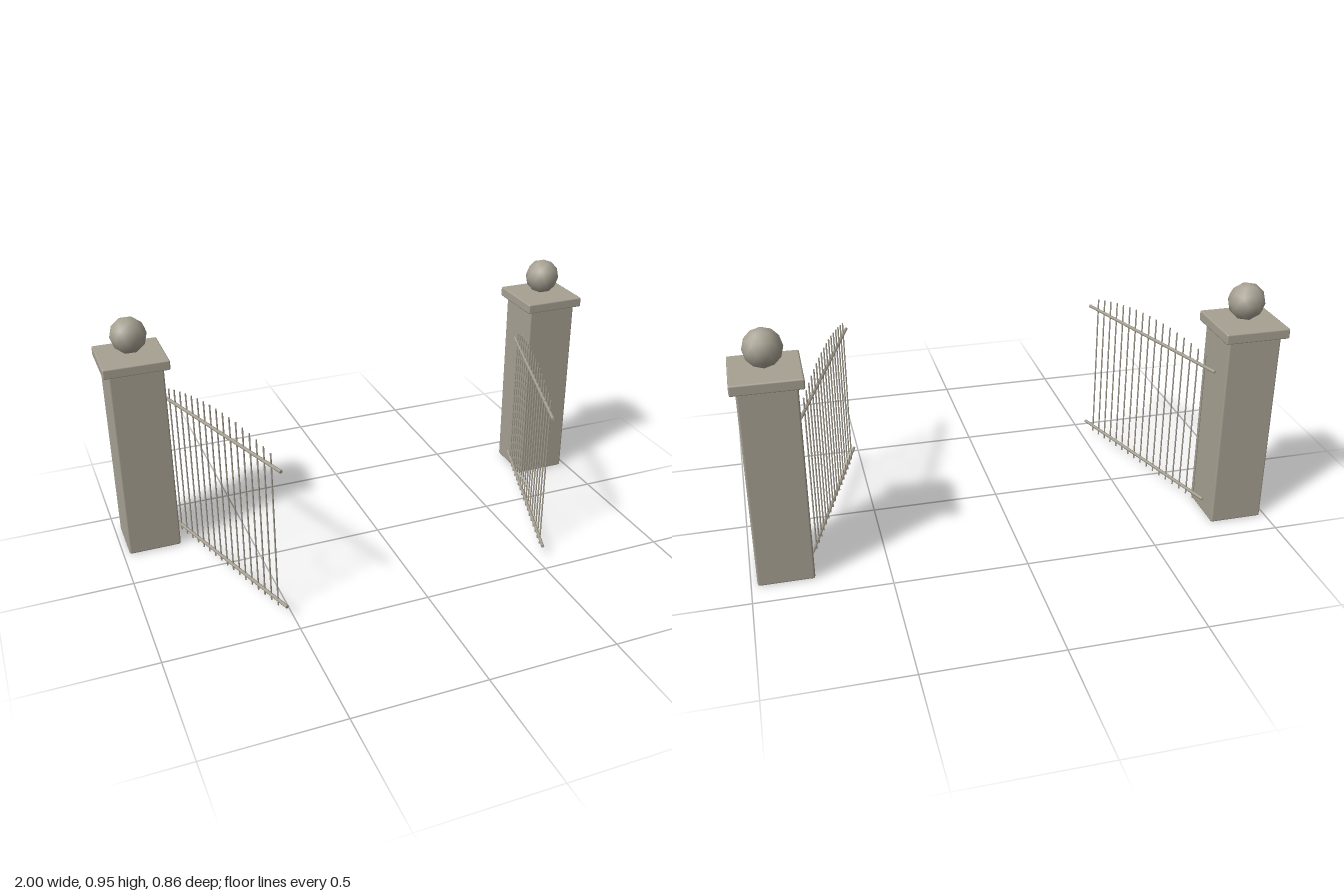
import * as THREE from 'three';
import { RoundedBoxGeometry } from 'three/addons/geometries/RoundedBoxGeometry.js';

export function createModel() {
  const model = new THREE.Group();
  model.name = 'gateway';
  const stone = new THREE.MeshStandardMaterial({ color: 0xa7a193 });
  stone.name = 'weathered stone grey';

  const add = (parent, name, geometry, x, y, z) => {
    const mesh = new THREE.Mesh(geometry, stone);
    mesh.name = name;
    mesh.position.set(x, y, z);
    parent.add(mesh);
    return mesh;
  };

  // Shared geometry
  const pillarGeo = new RoundedBoxGeometry(0.206, 0.77, 0.206, 1, 0.008);
  const capGeo = new RoundedBoxGeometry(0.248, 0.04, 0.248, 1, 0.006);
  // Coarse ball with a vertex at the top
  const ballGeo = new THREE.IcosahedronGeometry(0.0715, 1);
  ballGeo.rotateX(-Math.atan((1 + Math.sqrt(5)) / 2));
  ballGeo.scale(0.97, 1, 0.92);
  const railGeo = new THREE.CylinderGeometry(0.0065, 0.0065, 0.785, 8);
  railGeo.rotateX(Math.PI / 2);

  for (const side of [-1, 1]) {
    const label = side > 0 ? 'left' : 'right';

    // Pillar with cap and ball
    const pillar = new THREE.Group();
    pillar.name = label + 'Pillar';
    pillar.position.set(side * 0.874, 0, -0.303);
    model.add(pillar);
    add(pillar, 'shaft', pillarGeo, 0, 0.385, 0);
    add(pillar, 'cap', capGeo, 0, 0.791, 0);
    add(pillar, 'ball', ballGeo, 0, 0.883, 0);

    // Open gate leaf, its length along local z
    const gate = new THREE.Group();
    gate.name = label + 'Gate';
    gate.position.set(side * 0.647, 0, 0.057);
    gate.rotation.y = Math.atan2(-side * 0.245, 0.746);
    model.add(gate);
    add(gate, 'bottomRail', railGeo, 0, 0.054, 0);
    add(gate, 'topRail', railGeo, 0, 0.612, 0);

    // Upright bars with arched tops
    const count = 17, span = 0.67, foot = 0.03;
    for (let i = 0; i < count; i++) {
      const t = (2 * i) / (count - 1) - 1;
      const height = 0.702 - 0.042 * t * t - foot;
      const bar = new THREE.CylinderGeometry(0.003, 0.003, height, 6);
      add(gate, 'bar' + (i + 1), bar, 0, foot + height / 2, t * span / 2);
    }
  }
  return model;
}
